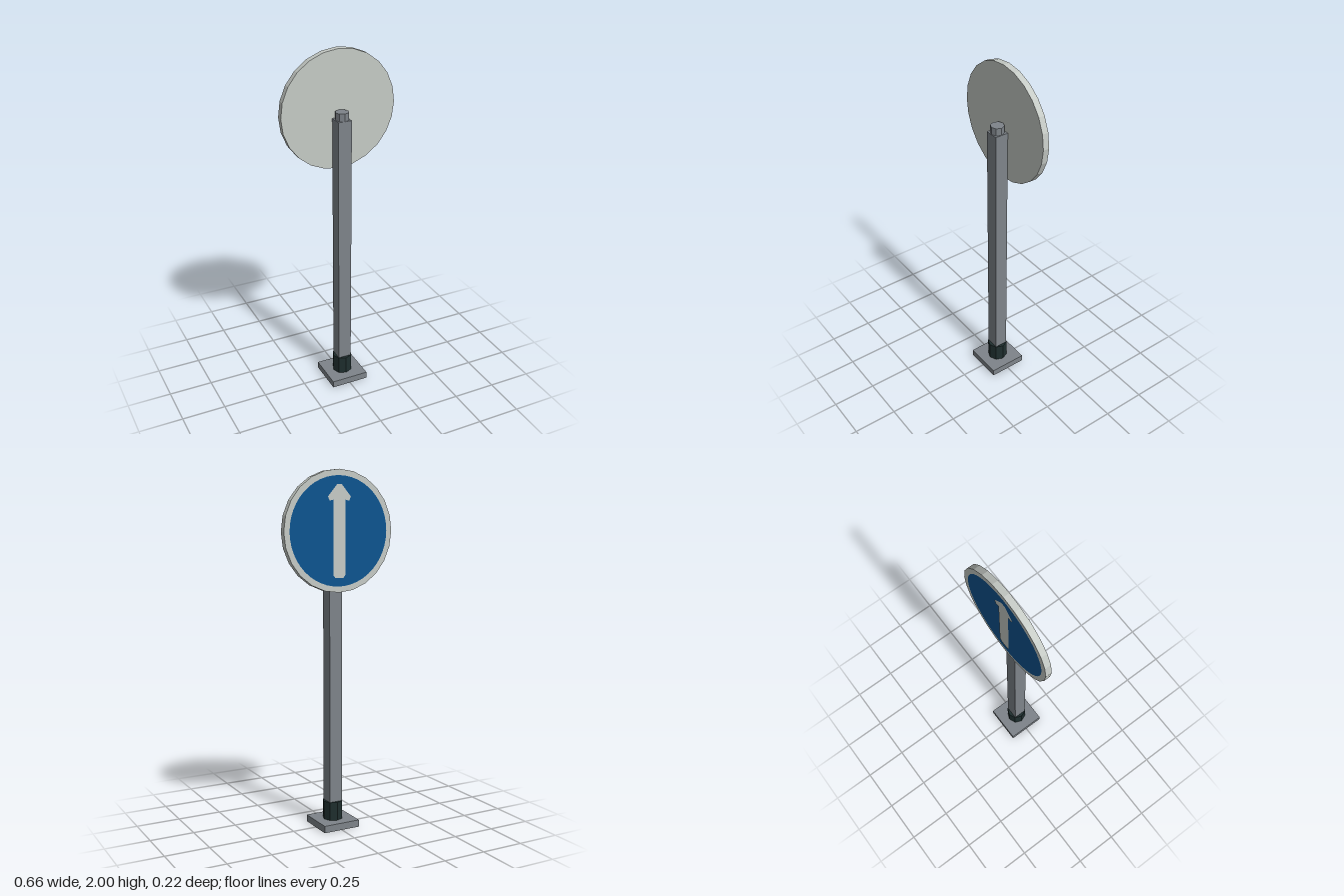
import * as THREE from 'three';

const paint = (name, color) => {
  const m = new THREE.MeshStandardMaterial({ color });
  m.name = name;
  return m;
};

export function createModel() {
  const steel = paint('steel grey', 0x7e848a);
  const rubber = paint('dark collar', 0x1f2f2f);
  const panel = paint('light grey', 0xc6cbc6);
  const blue = paint('sign blue', 0x0d5490);
  for (const m of [steel, rubber, panel, blue]) m.flatShading = true;

  const model = new THREE.Group();
  model.name = 'roadSign';
  const add = (name, geometry, material, x, y, z) => {
    const mesh = new THREE.Mesh(geometry, material);
    mesh.name = name;
    mesh.position.set(x, y, z);
    model.add(mesh);
    return mesh;
  };

  // Foot, collar and post
  add('basePlate', new THREE.BoxGeometry(0.22, 0.04, 0.22), steel, 0, 0.02, 0);
  add('collar', new THREE.CylinderGeometry(0.057, 0.057, 0.105, 8), rubber, 0, 0.0925, 0);
  add('post', new THREE.BoxGeometry(0.078, 1.59, 0.076), steel, 0, 0.835, 0);
  add('postCap', new THREE.CylinderGeometry(0.038, 0.038, 0.042, 8), steel, 0, 1.651, 0);

  // Round panel, its painted face turned to the back
  const signY = 1.67;
  const disc = new THREE.CylinderGeometry(0.33, 0.33, 0.036, 24).rotateX(Math.PI / 2);
  add('signPanel', disc, panel, 0, signY, -0.056);
  const face = new THREE.CircleGeometry(0.297, 48).rotateY(Math.PI);
  add('blueFace', face, blue, 0, signY, -0.075);

  // Arrow outline, right half mirrored to the left
  const half = [[0.014, 0.25], [0.07, 0.185], [0.06, 0.163], [0.037, 0.168], [0.037, -0.235], [0.025, -0.25]];
  const outline = [...half, ...half.map(([x, y]) => [-x, y]).reverse()];
  const arrow = new THREE.Shape(outline.map(([x, y]) => new THREE.Vector2(x, y)));
  add('arrow', new THREE.ShapeGeometry(arrow).rotateY(Math.PI), panel, 0, signY, -0.0765);

  return model;
}
